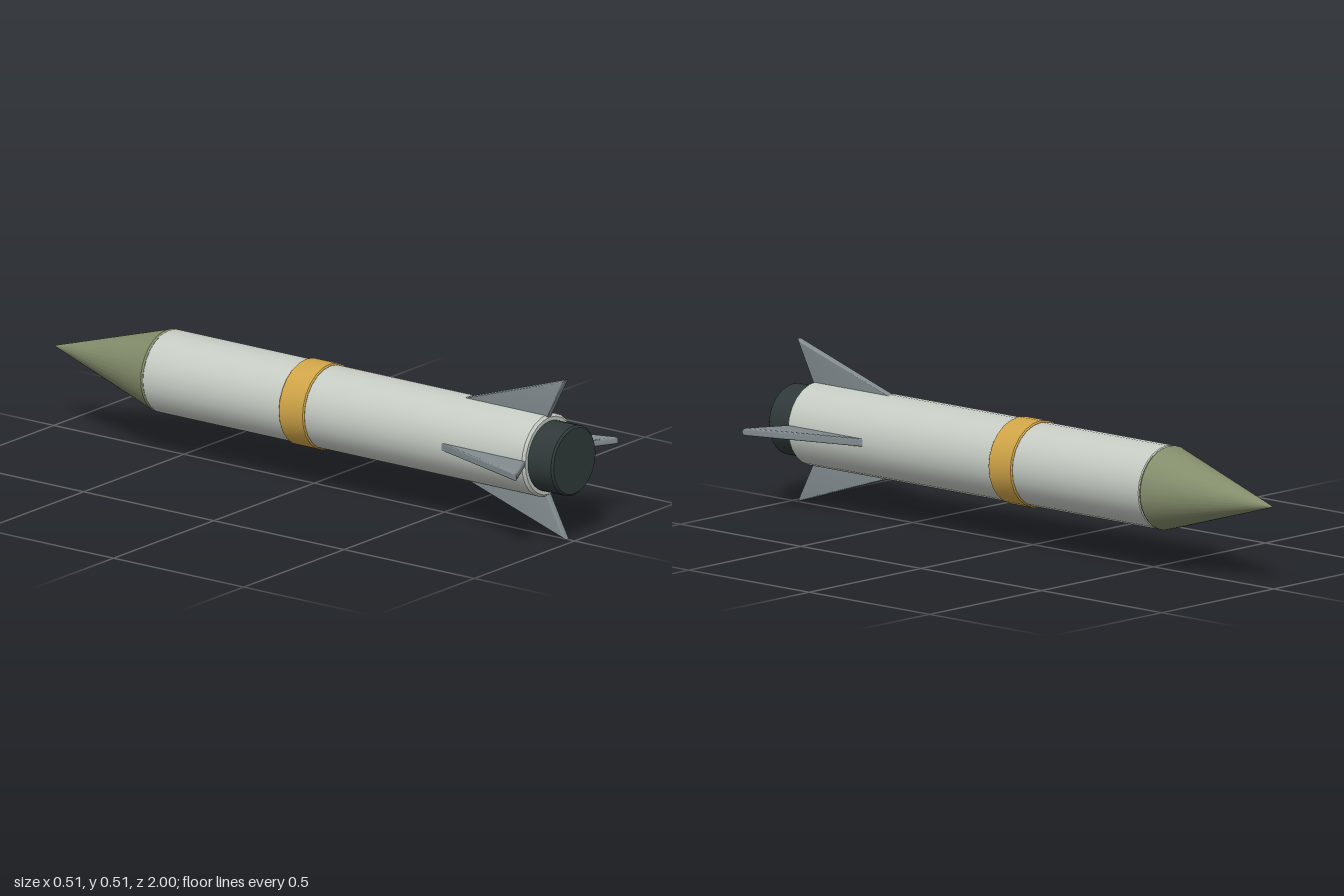
import * as THREE from 'three';
import { toCreasedNormals } from 'three/addons/utils/BufferGeometryUtils.js';

const AXIS_Y = 0.254; // height of the long axis

const mat = (name, color) => {
  const m = new THREE.MeshStandardMaterial({ color });
  m.name = name;
  return m;
};

// Turned part about the z axis; profile is [radius, z] running from rear (+z) to tip (-z)
function turned(name, profile, sides, material) {
  const points = profile.map(([r, z]) => new THREE.Vector2(r, -z));
  const geo = new THREE.LatheGeometry(points, sides);
  geo.rotateX(-Math.PI / 2);
  const mesh = new THREE.Mesh(toCreasedNormals(geo, 0.5), material);
  mesh.name = name;
  return mesh;
}

// Cylinder profile with chamfered rims
const drum = (r, back, front, c) => [
  [0, back], [r - c, back], [r, back - c], [r, front + c], [r - c, front], [0, front],
];

export function createModel() {
  const white = mat('pale grey body', 0xc6ccc4);
  const gold = mat('gold band', 0xd0a548);
  const olive = mat('olive nose', 0x838d6b);
  const grey = mat('grey fins', 0x838c90);
  const dark = mat('dark nozzle', 0x303939);

  const model = new THREE.Group();
  model.name = 'rocket';
  const rocket = new THREE.Group();
  rocket.name = 'rocketAssembly';
  rocket.position.y = AXIS_Y;
  model.add(rocket);

  rocket.add(
    turned('body', drum(0.13, 0.905, -0.565, 0.008), 24, white),
    turned('band', drum(0.135, 0.063, -0.035, 0.004), 24, gold),
    turned('noseCone', [[0, -0.56], [0.127, -0.56], [0.13, -0.566], [0, -1]], 32, olive),
    turned('nozzle', drum(0.11, 1, 0.88, 0.006), 32, dark),
  );

  // Swept fin outline: x is distance from the axis, y is position along z
  const outline = new THREE.Shape();
  outline.moveTo(0.09, 0.466);
  outline.lineTo(0.254, 0.972);
  outline.lineTo(0.09, 0.888);
  outline.closePath();
  const bevel = 0.01;
  const depth = 0.004;
  const finGeo = new THREE.ExtrudeGeometry(outline, {
    depth, bevelEnabled: true, bevelSize: bevel, bevelThickness: bevel,
    bevelOffset: -bevel, bevelSegments: 4,
  });
  finGeo.translate(0, 0, -depth / 2);
  finGeo.rotateX(Math.PI / 2);
  const smoothFin = toCreasedNormals(finGeo, 0.6);

  // Four fins around the tail
  for (let i = 0; i < 4; i++) {
    const fin = new THREE.Mesh(smoothFin, grey);
    fin.name = ['leftFin', 'topFin', 'rightFin', 'bottomFin'][i];
    fin.rotation.z = (i * Math.PI) / 2;
    rocket.add(fin);
  }
  return model;
}
